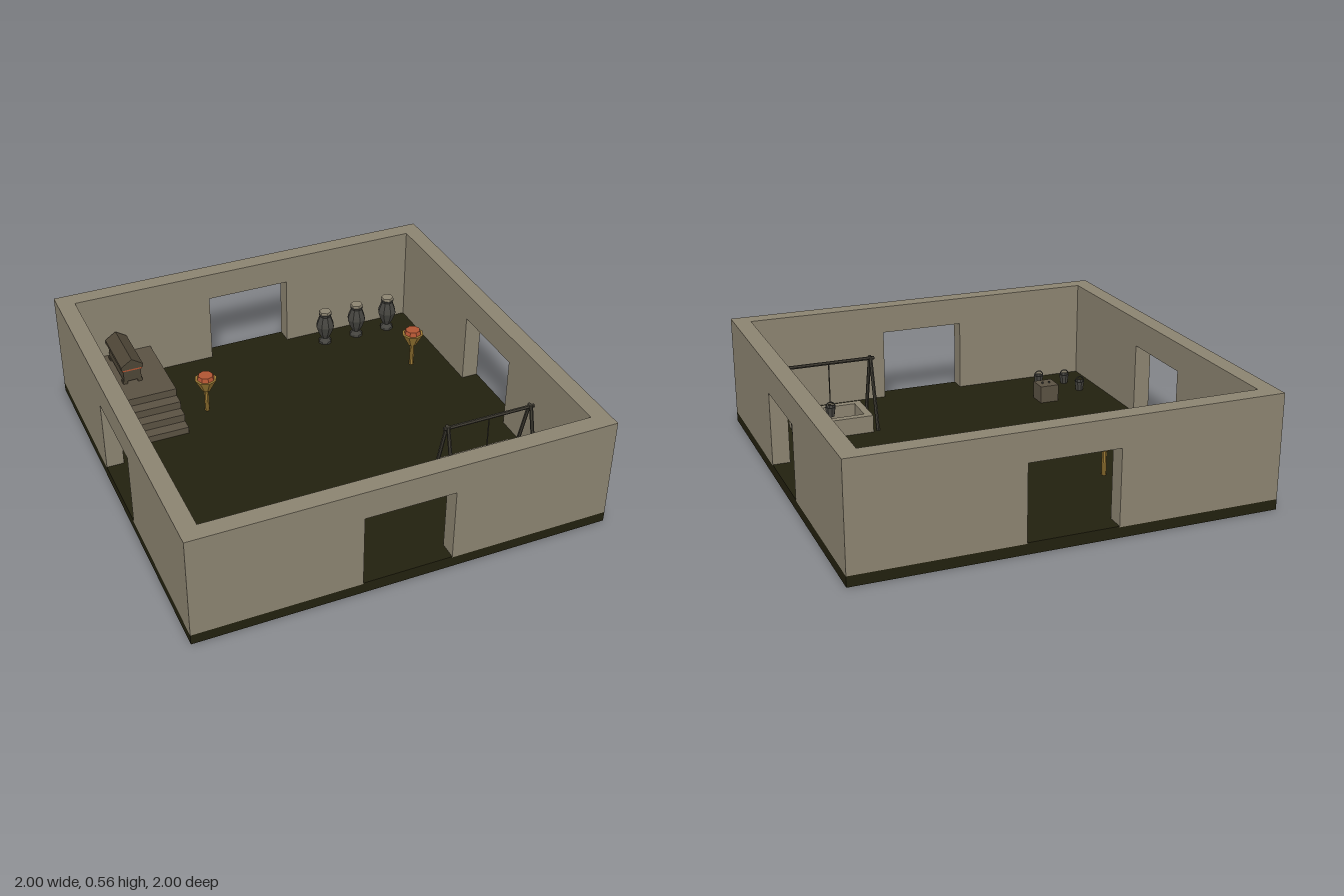
import * as THREE from 'three';

const mat = (name, color, extra = {}) => {
  const m = new THREE.MeshStandardMaterial({ color, flatShading: true, ...extra });
  m.name = name;
  return m;
};

export function createModel() {
  const root = new THREE.Group();
  root.name = 'courtyard';
  const wallStone = mat('wallStone', 0x8b8370);
  const earth = mat('darkEarth', 0x22200e);
  const brownStone = mat('brownStone', 0x5a5142);
  const casketWood = mat('casketWood', 0x4d4536);
  const red = mat('emberRed', 0xb05432);
  const ochre = mat('ochre', 0x9c7a34);
  const iron = mat('darkIron', 0x45443f, { side: THREE.DoubleSide });
  const timber = mat('darkTimber', 0x3c3930);
  const FLOOR = 0.055;

  const add = (parent, name, geo, material, x = 0, y = 0, z = 0) => {
    const m = new THREE.Mesh(geo, material);
    m.name = name;
    m.position.set(x, y, z);
    parent.add(m);
    return m;
  };
  // box given by its extents
  const block = (parent, name, material, x0, x1, y0, y1, z0, z1) =>
    add(parent, name, new THREE.BoxGeometry(x1 - x0, y1 - y0, z1 - z0), material,
      (x0 + x1) / 2, (y0 + y1) / 2, (z0 + z1) / 2);
  const group = (name, x = 0, y = 0, z = 0) => {
    const g = new THREE.Group();
    g.name = name;
    g.position.set(x, y, z);
    root.add(g);
    return g;
  };
  const lathe = (pts, sides) =>
    new THREE.LatheGeometry(pts.map(p => new THREE.Vector2(...p)), sides);
  // round bar between two points
  const bar = (parent, name, material, a, b, r, sides = 6) => {
    const va = new THREE.Vector3(...a), vb = new THREE.Vector3(...b);
    const d = vb.clone().sub(va);
    const m = add(parent, name, new THREE.CylinderGeometry(r, r, d.length(), sides), material);
    m.position.copy(va).add(vb).multiplyScalar(0.5);
    m.quaternion.setFromUnitVectors(new THREE.Vector3(0, 1, 0), d.normalize());
  };

  // ground slab and yard surface
  block(root, 'groundSlab', earth, -1, 1, 0, 0.05, -1, 1);
  block(root, 'yardFloor', earth, -0.917, 0.917, 0.05, FLOOR, -0.917, 0.917);

  // four walls, each with a square gateway
  const T = 0.085;
  const wallGeo = w => {
    const s = new THREE.Shape();
    [[-w, 0.05], [-0.215, 0.05], [-0.215, 0.415], [0.215, 0.415], [0.215, 0.05],
      [w, 0.05], [w, 0.555], [-w, 0.555]].forEach(([x, y], i) => i ? s.lineTo(x, y) : s.moveTo(x, y));
    return new THREE.ExtrudeGeometry(s, { depth: T, bevelEnabled: false }).translate(0, 0, 1 - T);
  };
  ['frontWall', 'leftWall', 'backWall', 'rightWall'].forEach((name, i) => {
    add(root, name, wallGeo(i % 2 ? 1 - T : 1), wallStone).rotation.y = i * Math.PI / 2;
    // threshold closing the foot of each gateway
    const sill = add(group(name + 'Sill'), 'threshold', new THREE.BoxGeometry(0.43, 0.005, T), earth, 0, 0.0525, 1 - T / 2);
    sill.parent.rotation.y = i * Math.PI / 2;
  });

  // stepped platform
  const dais = group('platform');
  [[0.21, -0.492], [0.17, -0.433], [0.13, -0.376], [0.09, -0.32]].forEach(([top, z], i, all) =>
    block(dais, 'step', brownStone, -0.915, -0.55, 0.05, top, i ? all[i - 1][1] : -0.915, z));

  // casket with gabled lid, red trim and feet
  const casket = group('casket', -0.73, 0.21, -0.76);
  block(casket, 'casketBody', casketWood, -0.045, 0.045, 0.015, 0.075, -0.13, 0.13);
  block(casket, 'casketTrim', red, -0.05, 0.05, 0.075, 0.086, -0.134, 0.134);
  const lid = new THREE.Shape();
  [[-0.056, 0.086], [0.056, 0.086], [0.056, 0.105], [0, 0.142], [-0.056, 0.105]]
    .forEach(([x, y], i) => i ? lid.lineTo(x, y) : lid.moveTo(x, y));
  add(casket, 'casketLid', new THREE.ExtrudeGeometry(lid, { depth: 0.278, bevelEnabled: false }),
    casketWood, 0, 0, -0.139);
  for (const x of [-0.038, 0.038]) for (const z of [-0.115, 0.115])
    block(casket, 'casketFoot', casketWood, x - 0.012, x + 0.012, 0, 0.016, z - 0.015, z + 0.015);

  // standing fire bowls
  for (const [x, z] of [[-0.402, -0.47], [0.73, -0.44]]) {
    const b = group('brazier', x, FLOOR, z);
    add(b, 'brazierPole', new THREE.CylinderGeometry(0.012, 0.012, 0.13, 8), ochre, 0, 0.065, 0);
    add(b, 'brazierBowl', new THREE.CylinderGeometry(0.057, 0.02, 0.07, 8), ochre, 0, 0.155, 0);
    add(b, 'embers', new THREE.CylinderGeometry(0.038, 0.045, 0.022, 8), red, 0, 0.2, 0);
  }

  // row of lidded urns along the back wall
  for (const x of [0.396, 0.58, 0.763]) {
    const u = group('urn', x, FLOOR, -0.815);
    add(u, 'urnBody', lathe([[0, 0], [0.035, 0], [0.035, 0.012], [0.02, 0.03], [0.035, 0.06],
      [0.05, 0.105], [0.045, 0.125], [0.03, 0.165], [0.036, 0.18], [0, 0.18]], 8), iron);
    add(u, 'urnLid', new THREE.CylinderGeometry(0.032, 0.034, 0.014, 6), wallStone, 0, 0.187, 0);
  }

  // bucket with a hoop handle
  const bucket = (x, y, z) => {
    const b = group('bucket', x, y, z);
    add(b, 'bucketShell', lathe([[0, 0], [0.02, 0], [0.027, 0.05], [0.022, 0.05], [0.018, 0.012], [0, 0.012]], 8), iron);
    add(b, 'bucketHandle', new THREE.TorusGeometry(0.024, 0.003, 4, 8, Math.PI), iron, 0, 0.05, 0);
  };
  [[-0.8, 0.63], [-0.77, 0.765], [-0.633, 0.8]].forEach(([x, z]) => bucket(x, FLOOR, z));

  // well: stone curb with dark water
  const well = group('well');
  block(well, 'curbSide', wallStone, 0.428, 0.465, 0.05, 0.143, 0.444, 0.679);
  block(well, 'curbSide', wallStone, 0.765, 0.802, 0.05, 0.143, 0.444, 0.679);
  block(well, 'curbEnd', wallStone, 0.465, 0.765, 0.05, 0.143, 0.444, 0.481);
  block(well, 'curbEnd', wallStone, 0.465, 0.765, 0.05, 0.143, 0.642, 0.679);

  // hoist frame, rope and hanging bucket
  const hoist = group('hoist');
  bar(hoist, 'crossbeam', timber, [0.38, 0.405, 0.562], [0.85, 0.405, 0.562], 0.009);
  for (const x of [0.4, 0.83]) for (const s of [-1, 1])
    bar(hoist, 'hoistLeg', timber, [x, 0.05, 0.562 + s * 0.104], [x, 0.415, 0.562 + s * 0.006], 0.009);
  bar(hoist, 'rope', timber, [0.615, 0.2, 0.562], [0.615, 0.405, 0.562], 0.003);
  bucket(0.615, 0.125, 0.562);

  // small crate with two studs on top
  const crate = group('crate', -0.57, FLOOR, 0.562);
  block(crate, 'crateBox', brownStone, -0.05, 0.05, 0, 0.09, -0.05, 0.05);
  for (const x of [-0.018, 0.02])
    add(crate, 'crateStud', new THREE.CylinderGeometry(0.006, 0.006, 0.008, 6), iron, x, 0.094, 0);

  return root;
}
